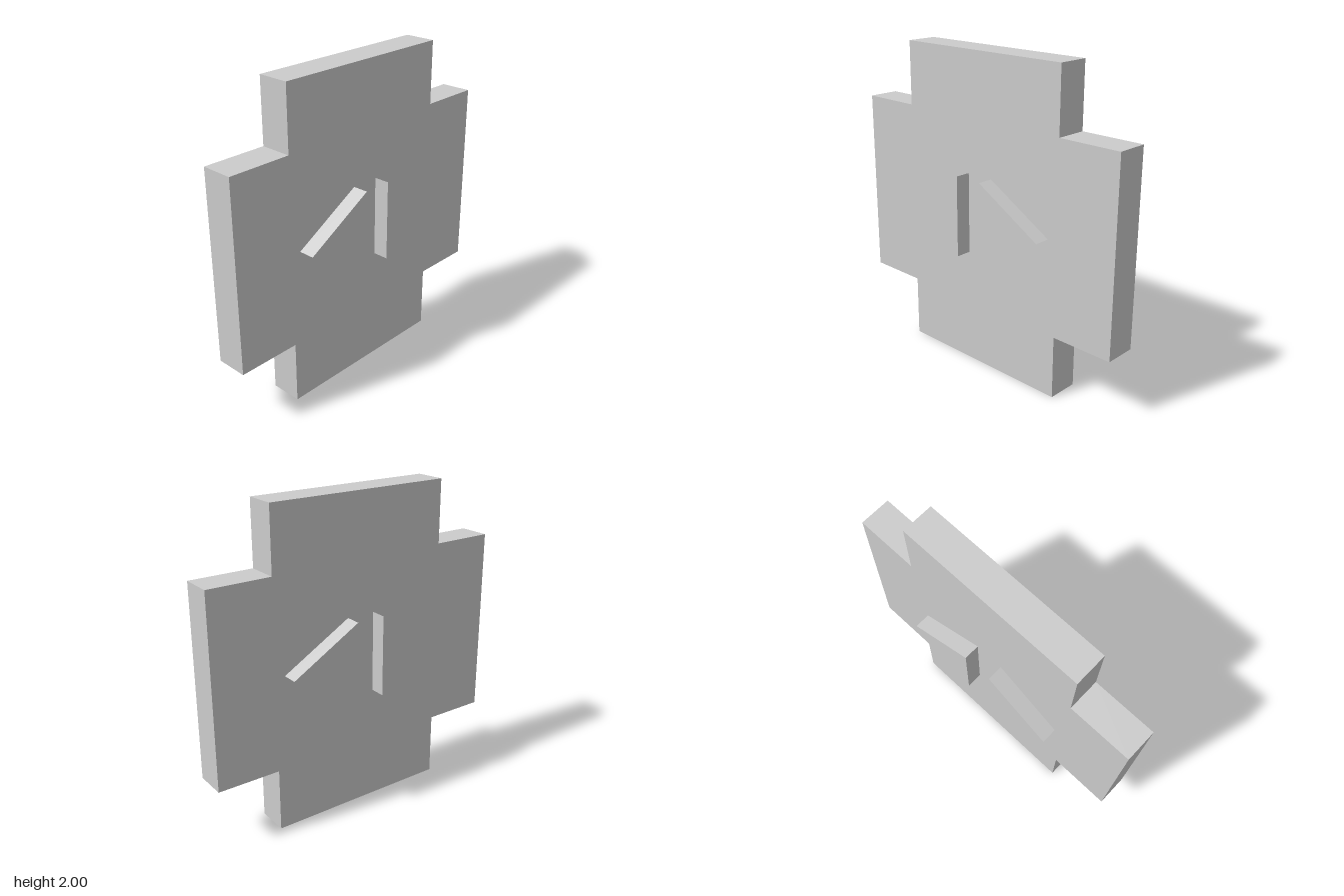
import * as THREE from 'three';

const material = new THREE.MeshStandardMaterial({ color: 0xcccccc, flatShading: true });

// Extrude an outline along z from zMin to zMax
function slab(name, points, zMin, zMax) {
  const shape = new THREE.Shape(points.map(([x, y]) => new THREE.Vector2(x, y)));
  const geometry = new THREE.ExtrudeGeometry(shape, { depth: zMax - zMin, bevelEnabled: false });
  geometry.translate(0, 0, zMin);
  const mesh = new THREE.Mesh(geometry, material);
  mesh.name = name;
  return mesh;
}

export function createModel() {
  const model = new THREE.Group();
  model.name = 'crossPlate';

  // Upright plate with notched corners
  model.add(slab('plate', [
    [-0.6, 0], [0.6, 0], [0.6, 0.4], [1, 0.4], [1, 1.6], [0.6, 1.6],
    [0.6, 2], [-0.6, 2], [-0.6, 1.6], [-1, 1.6], [-1, 0.4], [-0.6, 0.4],
  ], -0.1, 0.1));

  // Raised triangles pointing outward, a pair on each face
  for (const [side, s] of [['left', 1], ['right', -1]]) {
    const triangle = [[s * 0.093, 0.743], [s * 0.538, 1], [s * 0.093, 1.257]];
    model.add(slab(`${side}FrontTriangle`, triangle, 0.1, 0.2));
    model.add(slab(`${side}BackTriangle`, triangle, -0.2, -0.1));
  }
  return model;
}
